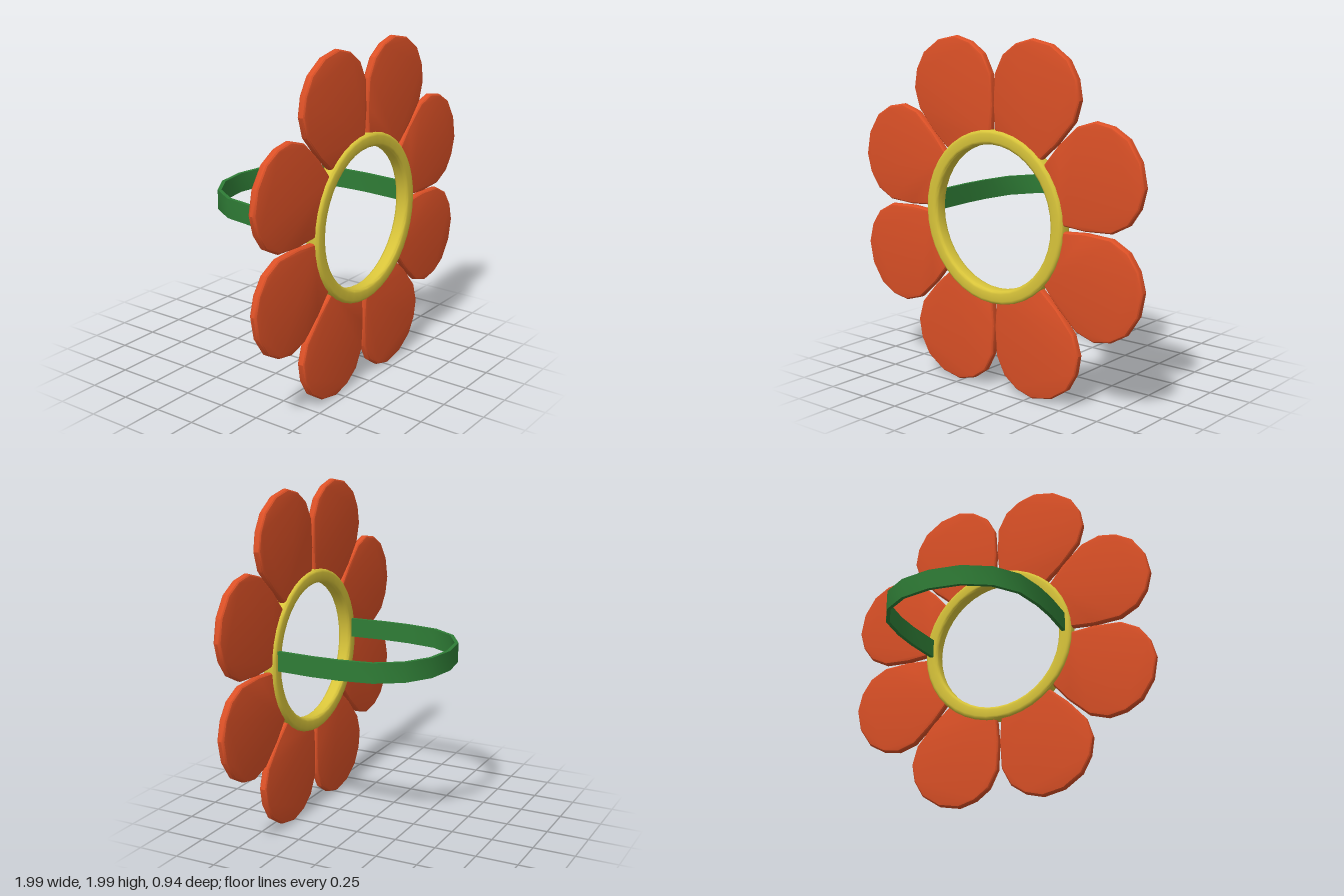
import * as THREE from 'three';
import { toCreasedNormals } from 'three/addons/utils/BufferGeometryUtils.js';

const CENTER_Y = 1.004, FLOWER_Z = 0.432;

function material(name, color) {
  const m = new THREE.MeshStandardMaterial({ color });
  m.name = name;
  return m;
}

function mesh(name, geometry, mat, crease) {
  const m = new THREE.Mesh(toCreasedNormals(geometry, crease), mat);
  m.name = name;
  return m;
}

// Rounded petal pointing along +x, measured from the flower's centre
function petalGeometry() {
  const half = [[0.44, 0.165], [0.58, 0.236], [0.74, 0.292], [0.86, 0.281], [0.953, 0.222], [1.022, 0.132]];
  const mirrored = half.map(([u, v]) => [u, -v]);
  const outline = [...mirrored, [1.048, 0], ...half.reverse()];
  const shape = new THREE.Shape(outline.map(([u, v]) => new THREE.Vector2(u, v)));
  const bevel = 0.017;
  const g = new THREE.ExtrudeGeometry(shape, {
    depth: 0.014, bevelThickness: bevel, bevelSize: bevel, bevelOffset: -bevel, bevelSegments: 3,
  });
  return g.translate(0, 0, -0.007);
}

// Ring with a rounded rectangular section
function ringGeometry() {
  const r0 = 0.41, r1 = 0.491, h = 0.042, c = 0.02;
  const corners = [[r1 - c, -h + c, -90], [r1 - c, h - c, 0], [r0 + c, h - c, 90], [r0 + c, -h + c, 180]];
  const points = [];
  for (const [r, y, start] of corners) {
    for (let i = 0; i <= 3; i++) {
      const a = THREE.MathUtils.degToRad(start + i * 30);
      points.push(new THREE.Vector2(r + c * Math.cos(a), y + c * Math.sin(a)));
    }
  }
  points.push(points[0].clone());
  return new THREE.LatheGeometry(points, 40).rotateX(Math.PI / 2);
}

// Arched strap: a plan outline given thickness, then raised to its height
function bandGeometry() {
  const side = [[0.444, 0.41], [0.458, 0.16], [0.453, 0], [0.423, -0.19], [0.33, -0.338], [0.182, -0.43]];
  const path = [...side, [0, -0.46], ...side.map(([x, z]) => [-x, z]).reverse()]
    .map(([x, z]) => new THREE.Vector2(x, -z));
  const offset = (d) => path.map((p, i) => {
    const t = path[Math.min(i + 1, path.length - 1)].clone().sub(path[Math.max(i - 1, 0)]).normalize();
    return new THREE.Vector2(p.x + t.y * d, p.y - t.x * d);
  });
  const shape = new THREE.Shape([...offset(0.011), ...offset(-0.011).reverse()]);
  const g = new THREE.ExtrudeGeometry(shape, { depth: 0.116, bevelEnabled: false });
  return g.rotateX(-Math.PI / 2).translate(0, 0.992, 0);
}

export function createModel() {
  const model = new THREE.Group();
  model.name = 'flowerBand';
  const orange = material('petal orange', 0xdb5026);
  const yellow = material('ring yellow', 0xd8c43a);
  const green = material('band green', 0x2f7d36);

  const flower = new THREE.Group();
  flower.name = 'flower';
  flower.position.set(0, CENTER_Y, FLOWER_Z);
  model.add(flower);

  // Eight petals around the ring
  const petal = petalGeometry();
  for (let i = 0; i < 8; i++) {
    const p = mesh(`petal${i + 1}`, petal, orange, 0.45);
    p.rotation.z = (i + 0.5) * Math.PI / 4;
    flower.add(p);
  }
  flower.add(mesh('centreRing', ringGeometry(), yellow, 0.8));

  // Strap behind the flower
  model.add(mesh('band', bandGeometry(), green, 0.65));
  return model;
}
